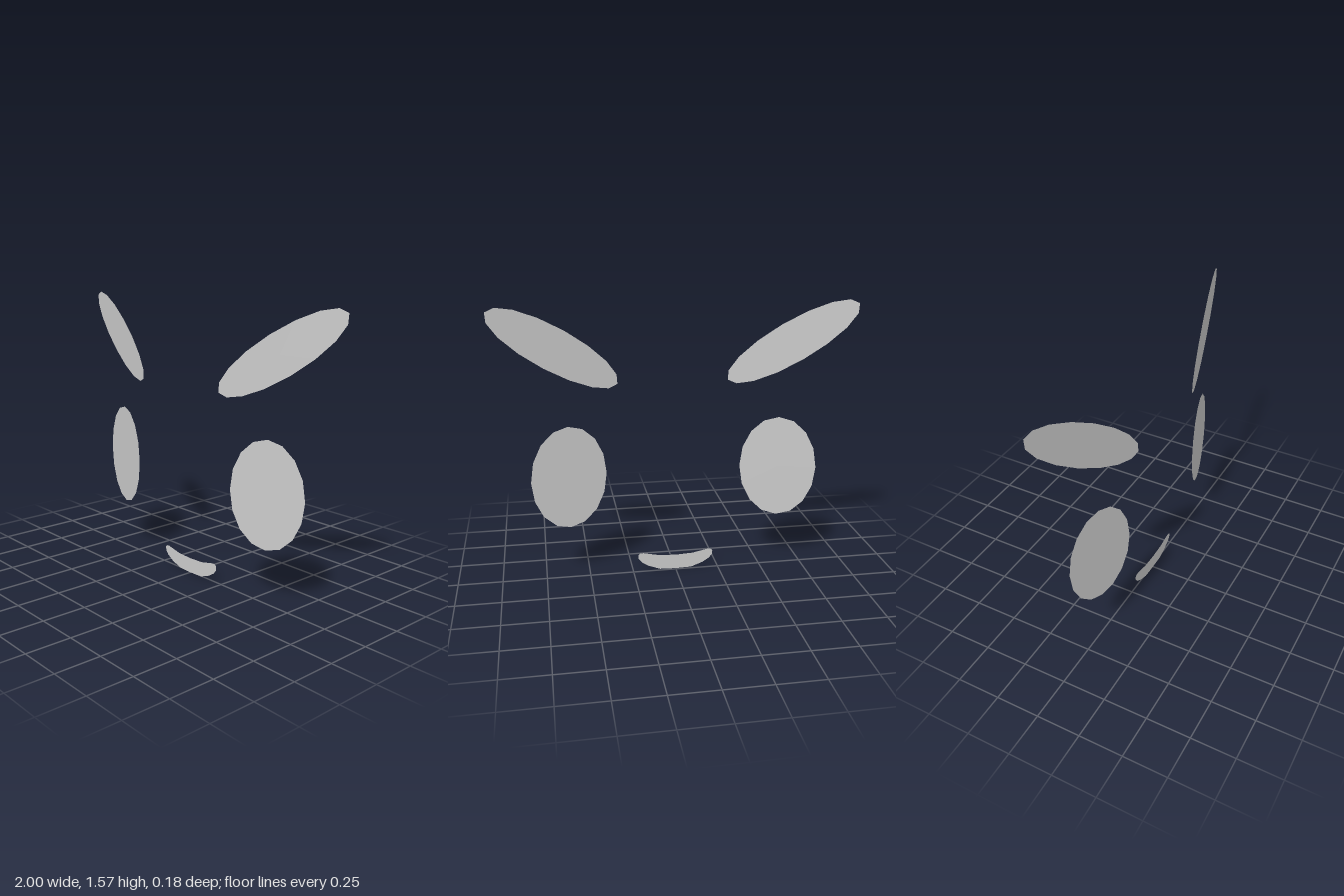
import * as THREE from 'three';

const material = new THREE.MeshStandardMaterial({ color: 0xcccccc, side: THREE.DoubleSide, flatShading: true });
const TURN = THREE.MathUtils.degToRad(14.8); // outer edges swept back

// Flat 16-sided oval, tilted in its own plane and swept back on its side of the face
function oval(name, side, rx, ry, tilt, x, y, z) {
  const geometry = new THREE.CircleGeometry(1, 16)
    .scale(rx, ry, 1)
    .rotateZ(side * tilt)
    .rotateY(side * TURN)
    .translate(side * x, y, z);
  const mesh = new THREE.Mesh(geometry, material);
  mesh.name = name;
  return mesh;
}

// Thin smile, outlined by its left half and mirrored
function mouth() {
  const half = [
    [0.093, 0.003], [0.16, 0.028], [0.2, 0.053], [0.219, 0.078],
    [0.22, 0.1], [0.208, 0.11], [0.19, 0.111], [0.1, 0.092],
  ];
  const outline = [
    [0, 0], ...half, [0, 0.087],
    ...half.map(([x, y]) => [-x, y]).reverse(),
  ].map(([x, y]) => new THREE.Vector2(x, y));
  const mesh = new THREE.Mesh(new THREE.ShapeGeometry(new THREE.Shape(outline)), material);
  mesh.name = 'mouth';
  mesh.position.z = 0.01;
  return mesh;
}

export function createModel() {
  const group = new THREE.Group();
  group.name = 'faceFeatures';
  for (const [label, side] of [['left', 1], ['right', -1]]) {
    group.add(oval(label + 'Eyebrow', side, 0.418, 0.115, 0.555, 0.657, 1.33, 0));
    group.add(oval(label + 'Eye', side, 0.22, 0.297, 0, 0.6, 0.6, 0.015));
  }
  group.add(mouth());
  return group;
}
